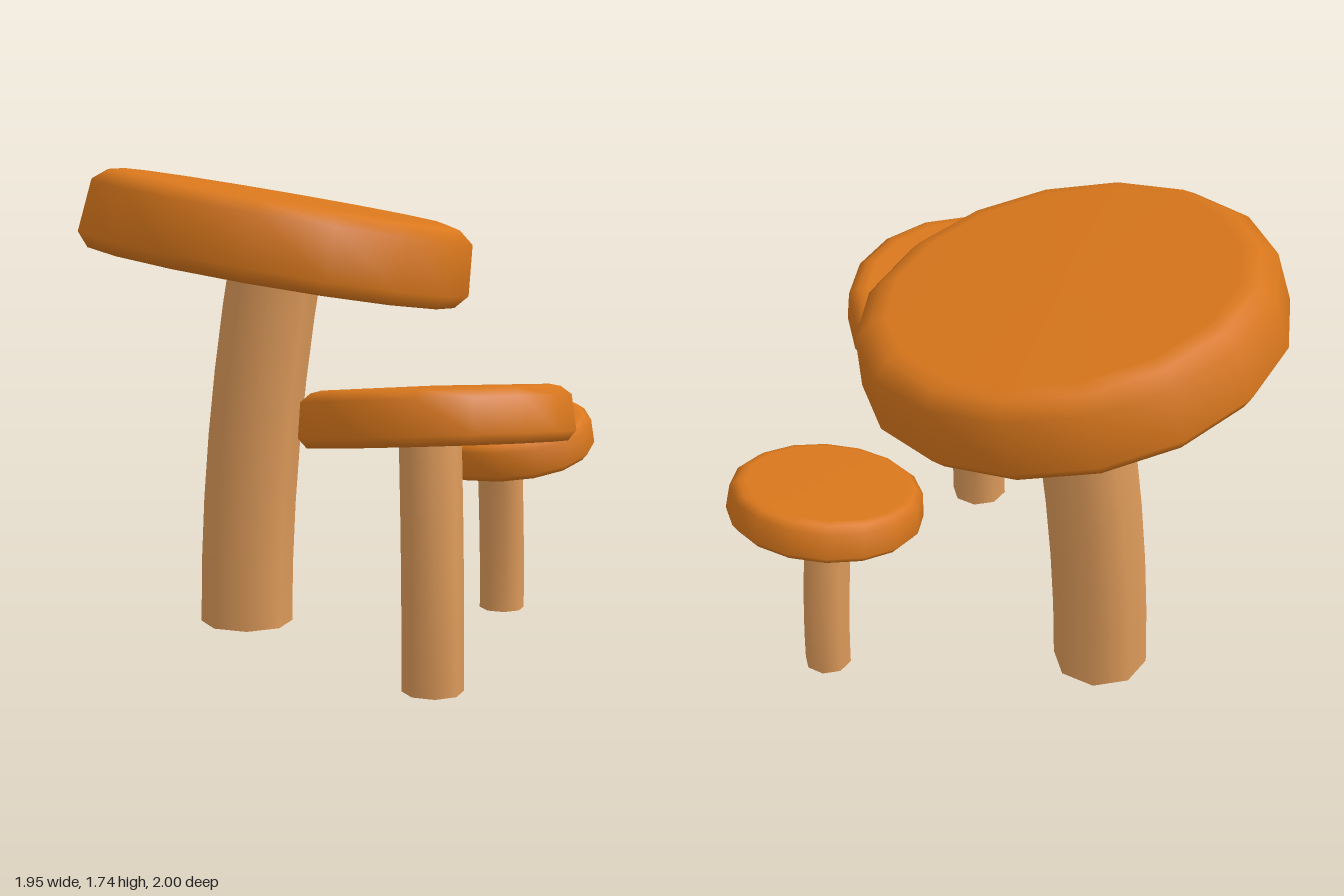
import * as THREE from 'three';

const capMaterial = new THREE.MeshStandardMaterial({ color: 0xd9771c });
const stemMaterial = new THREE.MeshStandardMaterial({ color: 0xdd9a5a });
const UP = new THREE.Vector3(0, 1, 0);

// Cap profile for radius 1, from the underside centre to the crown
const CAP_PROFILE = [
  [0, -0.205], [0.94, -0.2], [1, -0.13], [0.975, 0.125], [0.9, 0.185], [0.82, 0.203], [0, 0.215],
].map(([x, y]) => new THREE.Vector2(x, y));

// Low-poly disc cap, tilted so its axis follows the given normal
function makeCap({ radius, centre, normal, spin }) {
  const cap = new THREE.Mesh(
    new THREE.LatheGeometry(CAP_PROFILE, 16, THREE.MathUtils.degToRad(spin)), capMaterial);
  cap.name = 'cap';
  cap.scale.setScalar(radius);
  cap.position.set(...centre);
  cap.quaternion.setFromUnitVectors(UP, new THREE.Vector3(...normal).normalize());
  return cap;
}

// Eight-sided stem: a cylinder whose rings are carried along a curve
function makeStem({ radius, base, bendHeight, top }) {
  const curve = new THREE.QuadraticBezierCurve3(
    new THREE.Vector3(base[0], 0, base[1]),
    new THREE.Vector3(base[0], bendHeight, base[1]),
    new THREE.Vector3(...top));
  const geometry = new THREE.CylinderGeometry(
    radius, radius, 1, 8, 6, false, THREE.MathUtils.degToRad(12));
  const { position, normal } = geometry.attributes;
  const v = new THREE.Vector3();
  const turn = new THREE.Quaternion();
  for (let i = 0; i < position.count; i++) {
    v.fromBufferAttribute(position, i);
    const t = THREE.MathUtils.clamp(v.y + 0.5, 0, 1);
    v.y = 0;
    turn.setFromUnitVectors(UP, curve.getTangent(t));
    v.applyQuaternion(turn).add(curve.getPoint(t));
    position.setXYZ(i, v.x, v.y, v.z);
    v.fromBufferAttribute(normal, i).applyQuaternion(turn);
    normal.setXYZ(i, v.x, v.y, v.z);
  }
  const stem = new THREE.Mesh(geometry, stemMaterial);
  stem.name = 'stem';
  return stem;
}

const MUSHROOMS = [
  {
    name: 'largeMushroom',
    cap: { radius: 0.75, centre: [-0.225, 1.485, -0.255], normal: [0.16, 1, -0.08], spin: 4 },
    stem: { radius: 0.175, base: [-0.34, -0.22], bendHeight: 0.7, top: [-0.22, 1.45, -0.27] },
  },
  {
    name: 'frontMushroom',
    cap: { radius: 0.48, centre: [0.485, 0.95, 0.52], normal: [-0.06, 1, -0.155], spin: 0 },
    stem: { radius: 0.108, base: [0.495, 0.6], bendHeight: 0.43, top: [0.467, 0.94, 0.52] },
  },
  {
    name: 'backMushroom',
    cap: { radius: 0.357, centre: [0.6, 0.705, -0.557], normal: [-0.04, 1, 0.18], spin: 4 },
    stem: { radius: 0.087, base: [0.605, -0.61], bendHeight: 0.31, top: [0.593, 0.7, -0.54] },
  },
];

export function createModel() {
  const model = new THREE.Group();
  model.name = 'mushroomCluster';
  for (const { name, cap, stem } of MUSHROOMS) {
    const mushroom = new THREE.Group();
    mushroom.name = name;
    mushroom.add(makeStem(stem), makeCap(cap));
    model.add(mushroom);
  }
  return model;
}
